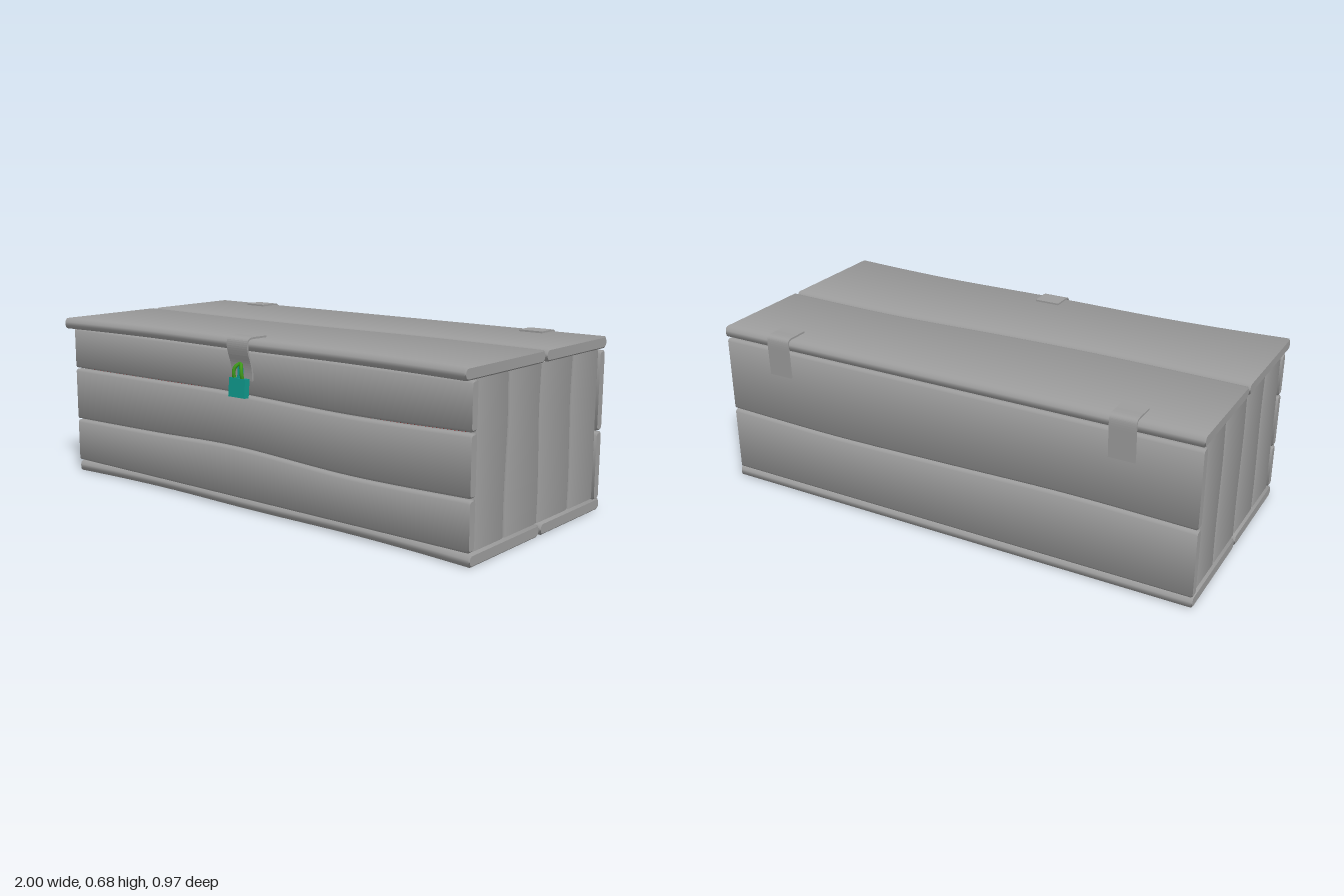
import * as THREE from 'three';

const mat = (color) => new THREE.MeshStandardMaterial({ color });
const V = (x, y, z) => new THREE.Vector3(x, y, z);
const X = V(1, 0, 0), Y = V(0, 1, 0), Z = V(0, 0, 1);

// Smooth edge line through [position, offset] points
function edge(points) {
  if (typeof points === 'number') return () => points;
  const curve = new THREE.SplineCurve(points.map((p) => new THREE.Vector2(p[0], p[1])));
  const samples = curve.getPoints(80);
  return (l) => {
    let i = 1;
    while (i < samples.length - 1 && samples[i].x < l) i++;
    const a = samples[i - 1], b = samples[i];
    return a.y + (b.y - a.y) * (l - a.x) / (b.x - a.x);
  };
}

// Rounded board between two wavy edges; axes give length, width and thickness.
// Normals lean outward at the corners, so the wide faces shade softly.
function plank([L, U, T], l0, l1, edgeA, edgeB, t0, t1, r = 0.016) {
  const a = edge(edgeA), b = edge(edgeB), N = 32, C = 5, ring = C * 4;
  const bevel = 0.005, soft = 0.5;
  const stations = [[l0, bevel], [l0 + bevel, 0]];
  for (let i = 1; i < N; i++) stations.push([l0 + (l1 - l0) * i / N, 0]);
  stations.push([l1 - bevel, 0], [l1, bevel]);
  const pos = [], nor = [], idx = [];
  const mix = (l, u, t) => V(0, 0, 0).addScaledVector(L, l).addScaledVector(U, u).addScaledVector(T, t);
  const put = (p, n) => {
    pos.push(p.x, p.y, p.z);
    nor.push(n.x, n.y, n.z);
  };
  const addRing = ([l, inset], capNormal) => {
    const u0 = a(l) + inset, u1 = b(l) - inset, v0 = t0 + inset, v1 = t1 - inset;
    const rr = Math.min(r, (v1 - v0) * 0.48);
    [[u1, v1, -1, -1], [u0, v1, 1, -1], [u0, v0, 1, 1], [u1, v0, -1, 1]].forEach(([u, v, su, sv], k) => {
      for (let j = 0; j < C; j++) {
        const f = j / (C - 1), q = (k + f) * Math.PI / 2;
        const n = (k + 0.5 + (f - 0.5) * soft) * Math.PI / 2;
        put(mix(l, u + (su + Math.cos(q)) * rr, v + (sv + Math.sin(q)) * rr),
          capNormal || mix(0, Math.cos(n), Math.sin(n)));
      }
    });
  };
  const flip = L.clone().cross(U).dot(T) < 0;
  const tri = (i, j, k) => (flip ? idx.push(i, k, j) : idx.push(i, j, k));
  stations.forEach((st) => addRing(st));
  for (let s = 0; s < stations.length - 1; s++) {
    for (let j = 0; j < ring; j++) {
      const p = s * ring + j, q = s * ring + (j + 1) % ring;
      tri(p, q, q + ring);
      tri(p, q + ring, p + ring);
    }
  }
  // End caps
  [stations[0], stations[stations.length - 1]].forEach((st, e) => {
    const base = pos.length / 3, n = mix(e ? 1 : -1, 0, 0);
    addRing(st, n);
    put(mix(st[0], (a(st[0]) + b(st[0])) / 2, (t0 + t1) / 2), n);
    for (let j = 0; j < ring; j++) {
      const p = base + j, q = base + (j + 1) % ring;
      if (e) tri(base + ring, p, q);
      else tri(base + ring, q, p);
    }
  });
  const g = new THREE.BufferGeometry();
  g.setAttribute('position', new THREE.Float32BufferAttribute(pos, 3));
  g.setAttribute('normal', new THREE.Float32BufferAttribute(nor, 3));
  g.setIndex(idx);
  return g;
}

// Bent metal strip following a (z, y) path
function strap(path, x, width, thick = 0.007) {
  const pts = new THREE.SplineCurve(path.map((p) => new THREE.Vector2(p[0], p[1]))).getPoints(28);
  const side = Math.sign(path[0][0]);
  const inner = pts.map((p, i) => {
    const d = pts[Math.min(i + 1, 28)].clone().sub(pts[Math.max(i - 1, 0)]).normalize();
    return new THREE.Vector2(p.x + d.y * thick * side, p.y - d.x * thick * side);
  });
  const g = new THREE.ExtrudeGeometry(new THREE.Shape([...pts, ...inner.reverse()]),
    { depth: width, bevelEnabled: false });
  g.rotateY(-Math.PI / 2);
  g.translate(x + width / 2, 0, 0);
  return g;
}

export function createModel() {
  const group = new THREE.Group();
  const grey = mat(0x9c9c9c), red = mat(0xa00c0c), teal = mat(0x0f988b), green = mat(0x3f9a1c);
  const add = (name, geometry, material = grey) => {
    const m = new THREE.Mesh(geometry, material);
    m.name = name;
    group.add(m);
    return m;
  };
  const shift = (pts, d) => pts.map(([l, u]) => [l, u + d]);
  const flat = [X, Z, Y], upright = [X, Y, Z], end = [Y, Z, X];
  const g = 0.003; // half gap between boards

  // Lid and base, two boards each, sharing a wavy seam
  const seam = [[-1, -0.022], [-0.7, -0.012], [-0.35, -0.006], [0, -0.015], [0.5, -0.036], [1, -0.022]];
  const front = [[-1, 0.487], [-0.75, 0.467], [-0.45, 0.456], [0, 0.463], [0.45, 0.456], [0.75, 0.467], [1, 0.487]];
  add('lidFrontBoard', plank(flat, -1, 1, shift(seam, g), front, 0.626, 0.671));
  add('lidBackBoard', plank(flat, -1, 1, -0.479, shift(seam, -g), 0.626, 0.671));
  add('baseFrontBoard', plank(flat, -1, 1, shift(seam, g), shift(front, -0.05), 0, 0.045));
  add('baseBackBoard', plank(flat, -1, 1, -0.477, shift(seam, -g), 0, 0.045));

  // Front wall, three boards
  const low = [[-1, 0.23], [-0.5, 0.238], [-0.05, 0.248], [0.5, 0.226], [1, 0.232]];
  const high = [[-1, 0.452], [-0.5, 0.455], [-0.1, 0.457], [0.5, 0.443], [1, 0.452]];
  [[0.051, shift(low, -g)], [shift(low, g), shift(high, -g)], [shift(high, g), 0.624]].forEach(([a, b]) =>
    add('frontBoard', plank(upright, -0.998, 0.998, a, b, 0.4, 0.441, 0.01)));

  // Back wall, two boards
  const backSeam = [[-1, 0.31], [-0.5, 0.318], [0, 0.308], [0.5, 0.3], [1, 0.31]];
  [[0.042, shift(backSeam, -g)], [shift(backSeam, g), 0.618]].forEach(([a, b]) =>
    add('backBoard', plank(upright, -0.998, 0.998, a, b, -0.474, -0.431, 0.01)));

  // End walls, four upright boards on each side
  const wave = [[0.045, 0.002], [0.17, 0.005], [0.32, 0], [0.47, -0.006], [0.63, 0]];
  const middle = wave.map(([l, u]) => [l, -0.011 - u]);
  const gaps = [[shift(wave, -0.237).map(([l, u]) => [l, -0.474 - u]), 0.005], [middle, 0.002], [shift(wave, 0.206), 0.005]];
  for (const s of [1, -1]) {
    for (let i = 0; i < 4; i++) {
      const a = i ? shift(gaps[i - 1][0], gaps[i - 1][1]) : -0.43;
      const b = i < 3 ? shift(gaps[i][0], -gaps[i][1]) : 0.399;
      const t = s > 0 ? [0.95, 0.992] : [-0.992, -0.95];
      add('endBoard', plank(end, 0.046, 0.625, a, b, t[0], t[1], 0.006));
    }
  }

  // Lining seen through the gaps
  const lining = add('lining', new THREE.BoxGeometry(1.89, 0.565, 0.82), red);
  lining.position.set(0, 0.3335, -0.015);

  // Hinges and latch
  const hinge = [[-0.38, 0.678], [-0.42, 0.678], [-0.462, 0.678], [-0.48, 0.671], [-0.486, 0.65],
    [-0.485, 0.6], [-0.482, 0.515]];
  for (const x of [-0.715, 0.73]) add('hinge', strap(hinge, x, 0.1));
  const latch = [[0.372, 0.678], [0.41, 0.678], [0.452, 0.678], [0.472, 0.669], [0.477, 0.645],
    [0.471, 0.615], [0.459, 0.58], [0.453, 0.55], [0.451, 0.515]];
  add('latch', strap(latch, 0, 0.104));

  // Padlock with a staple and a shackle curling back over it
  const body = add('padlockBody', new THREE.BoxGeometry(0.082, 0.072, 0.024), teal);
  body.position.set(0, 0.488, 0.469);
  body.rotation.x = -0.09;
  const staple = add('padlockStaple', new THREE.BoxGeometry(0.02, 0.06, 0.012), teal);
  staple.position.set(0, 0.537, 0.46);
  staple.rotation.x = -0.09;
  const shackle = new THREE.CatmullRomCurve3([V(-0.02, 0.515, 0.468), V(-0.02, 0.54, 0.475),
    V(-0.016, 0.563, 0.472), V(0, 0.578, 0.458), V(0.016, 0.563, 0.472), V(0.02, 0.54, 0.475), V(0.02, 0.515, 0.468)]);
  add('padlockShackle', new THREE.TubeGeometry(shackle, 24, 0.007, 8), green);

  return group;
}
